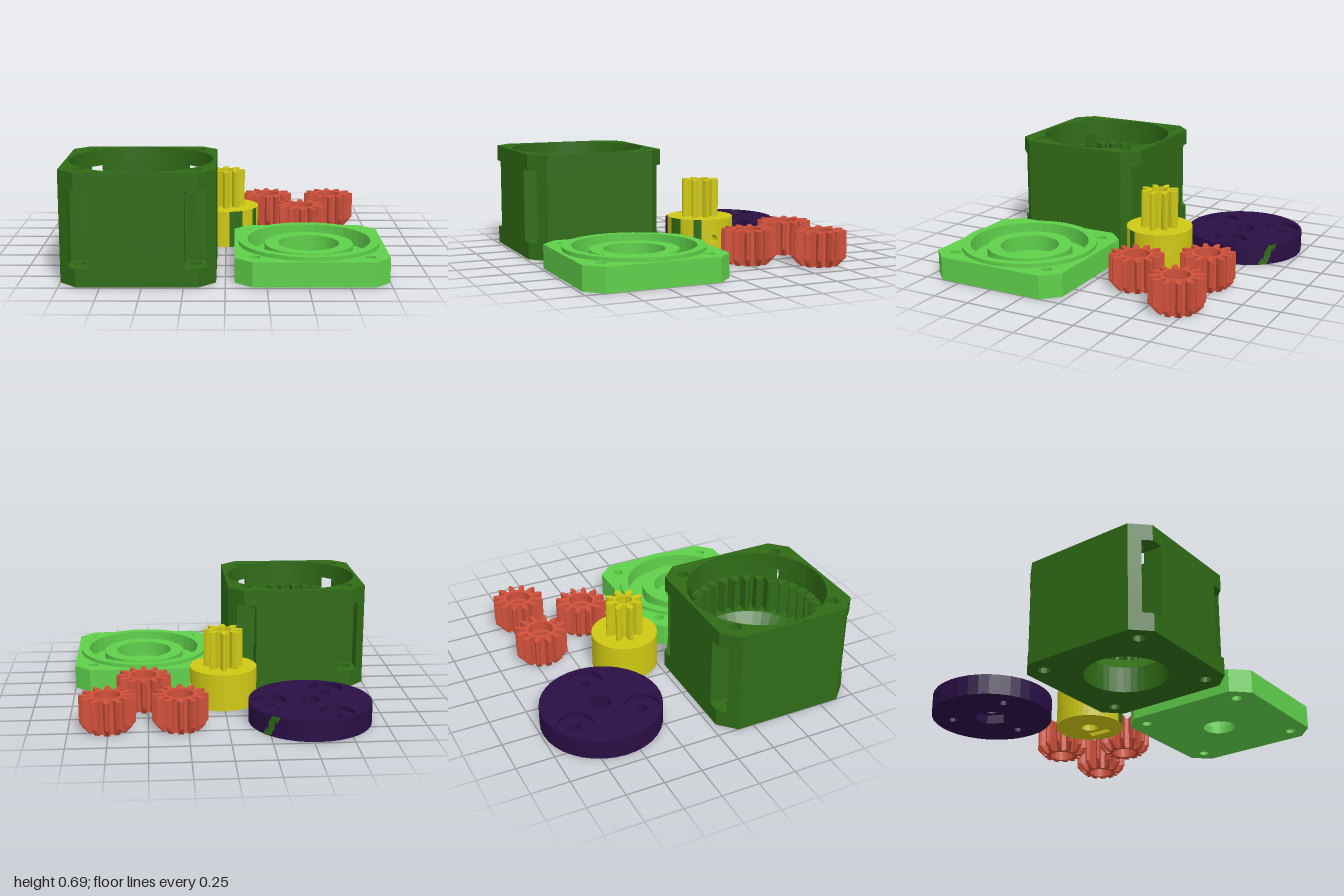
import * as THREE from 'three';

const DEG = Math.PI / 180;
const mat = (color) => new THREE.MeshStandardMaterial({ color, flatShading: true });
const darkGreen = mat(0x2f6b16), lightGreen = mat(0x5fd04a), red = mat(0xd0503a);
const yellow = mat(0xcfc814), purple = mat(0x2a0e45);

const polar = (r, a) => new THREE.Vector2(r * Math.cos(a), r * Math.sin(a));
const pts = (list) => list.map(([x, y]) => new THREE.Vector2(x, y));

function circle(r, n = 36, x = 0, y = 0) {
  return Array.from({ length: n }, (_, i) => polar(r, (i / n) * 2 * Math.PI).add(new THREE.Vector2(x, y)));
}

// Gear outline; tooth is a list of [radius, fraction of the pitch from the tooth centre]
function gear(teeth, tooth) {
  const out = [];
  for (let i = 0; i < teeth; i++)
    for (const [r, f] of tooth) out.push(polar(r, ((i + f) / teeth) * 2 * Math.PI));
  return out;
}
const petal = (half) => [...half.map(([r, f]) => [r, -f]), ...[...half].reverse()];

// One horizontal layer: an outline with holes, from height y0 to y1
function layer(group, name, material, y0, y1, outline, holes = []) {
  const shape = new THREE.Shape(outline);
  holes.forEach((h) => shape.holes.push(new THREE.Path(h)));
  const geo = new THREE.ExtrudeGeometry(shape, { depth: y1 - y0, bevelEnabled: false });
  geo.rotateX(-Math.PI / 2).translate(0, y0, 0);
  const mesh = new THREE.Mesh(geo, material);
  mesh.name = name;
  group.add(mesh);
  return mesh;
}

function part(name, x, z) {
  const g = new THREE.Group();
  g.name = name;
  g.position.set(x, 0, z);
  return g;
}

// Chamfered square plate with four screw holes
const H = 0.472, C = 0.367;
const plate = pts([[H, -C], [H, C], [C, H], [-C, H], [-H, C], [-H, -C], [-C, -H], [C, -H]]);
const screwHoles = (r) => [[1, 1], [-1, 1], [-1, -1], [1, -1]].map(([x, y]) => circle(r, 16, 0.349 * x, 0.349 * y));

// Housing with internal ring gear and four open corner pockets
function housing() {
  const g = part('housing', -0.528, 0.508);
  const P = 0.285, Q = 0.415, E = H + C - Q, R = 0.45;
  const pocketed = [];
  for (let i = 0; i < 4; i++) {
    const turn = new THREE.Vector2(), a = (i * Math.PI) / 2;
    const corner = i % 2 === 0
      ? [[H, C], [Q, E], [Q, P], [P, P], [P, H]]
      : [[H, P], [P, P], [P, Q], [E, Q], [C, H]];
    pts(corner).forEach((p) => pocketed.push(p.rotateAround(turn, a)));
  }
  layer(g, 'housingFloor', darkGreen, 0, 0.115, plate, [circle(0.257), ...screwHoles(0.038)]);
  layer(g, 'housingLowerWall', darkGreen, 0.115, 0.17, pocketed, [circle(0.257)]);
  layer(g, 'housingConeWall', darkGreen, 0.17, 0.28, pocketed, [circle(0.372)]);
  const cone = new THREE.Mesh(
    new THREE.LatheGeometry(pts([[0.257, 0.17], [0.372, 0.28]]), 36),
    Object.assign(darkGreen.clone(), { side: THREE.DoubleSide }));
  cone.name = 'conicalSeat';
  g.add(cone);

  // Between the pockets the wall splits into four bars lined by the given inner curve
  const bars = (name, y0, y1, curve) => {
    for (const s of [1, -1]) {
      const e = Math.sqrt(R * R - P * P);
      const side = curve.filter((p) => p.x > 0 && Math.abs(p.y) < P - 0.005).sort((a, b) => b.angleTo - a.angleTo || Math.atan2(b.y, b.x) - Math.atan2(a.y, a.x));
      const sideShape = [...pts([[Q, -P], [Q, -E], [H, -C], [H, C], [Q, E], [Q, P], [e, P]]), ...side, ...pts([[e, -P]])];
      layer(g, name + 'Side', darkGreen, y0, y1, sideShape).rotation.y = s > 0 ? 0 : Math.PI;
      const end = curve.filter((p) => p.y > 0 && Math.abs(p.x) < P - 0.005).sort((a, b) => Math.atan2(b.y, b.x) - Math.atan2(a.y, a.x));
      const endShape = [...pts([[P, e], [P, H], [-P, H], [-P, e]]), ...end];
      layer(g, name + 'End', darkGreen, y0, y1, endShape).rotation.y = s > 0 ? 0 : Math.PI;
    }
  };
  bars('ringGear', 0.28, 0.52, gear(32, [[R, -0.42], [0.382, -0.1], [0.382, 0.1], [R, 0.42]]));
  bars('upperWall', 0.52, 0.59, circle(R, 60));
  layer(g, 'housingRim', darkGreen, 0.59, 0.695, plate, [circle(R, 60), ...screwHoles(0.038)]);
  return g;
}

// Lid with locating lip, annular groove and bearing seat
function lid() {
  const g = part('lid', 0.528, 0.508), holes = screwHoles(0.034);
  layer(g, 'lidBase', lightGreen, 0, 0.05, plate, [circle(0.106), ...holes]);
  layer(g, 'lidSeat', lightGreen, 0.05, 0.075, plate, [circle(0.193), ...holes]);
  layer(g, 'lidFlange', lightGreen, 0.075, 0.155, plate, [circle(0.39), ...holes]);
  layer(g, 'bearingRing', lightGreen, 0.075, 0.155, circle(0.28), [circle(0.193)]);
  layer(g, 'lidLip', lightGreen, 0.155, 0.18, circle(0.447), [circle(0.39)]);
  return g;
}

// Planet gear with tapered foot and counterbored ends
function planet(x, z) {
  const g = part('planetGear', x, z);
  const outline = gear(12, petal([[0.108, 0.24], [0.14, 0.27], [0.163, 0.15], [0.177, 0.05]]));
  const wide = circle(0.083, 20), bore = circle(0.055, 10);
  const foot = layer(g, 'planetFoot', red, 0, 0.05, outline, [wide]);
  const p = foot.geometry.attributes.position;
  for (let i = 0; i < p.count; i++) {
    const r = Math.hypot(p.getX(i), p.getZ(i));
    if (p.getY(i) < 0.01 && r > 0.13) p.setXYZ(i, p.getX(i) * 0.13 / r, p.getY(i), p.getZ(i) * 0.13 / r);
  }
  foot.geometry.computeVertexNormals();
  layer(g, 'planetLower', red, 0.05, 0.07, outline, [wide]);
  layer(g, 'planetMiddle', red, 0.07, 0.165, outline, [bore]);
  layer(g, 'planetUpper', red, 0.165, 0.225, outline, [wide]);
  return g;
}

// Painted stripe on a round wall, optionally slanted
function stripe(name, r, h, start, length, slant = 0) {
  const geo = new THREE.CylinderGeometry(r, r, h, 4, 1, true, start * DEG, length * DEG);
  const p = geo.attributes.position, v = new THREE.Vector3(), up = new THREE.Vector3(0, 1, 0);
  for (let i = 0; i < p.count; i++) {
    v.fromBufferAttribute(p, i);
    if (v.y > 0) v.applyAxisAngle(up, slant * DEG);
    p.setXYZ(i, v.x, v.y, v.z);
  }
  geo.translate(0, h / 2, 0);
  const mesh = new THREE.Mesh(geo, darkGreen);
  mesh.name = name;
  return mesh;
}

// Sun gear on a hub with nut slot and side screw hole
function sun() {
  const g = part('sunGear', 0, -0.19), R = 0.222;
  const rim = circle(R, 40), bore = circle(0.055, 10);
  const slot = pts([[0.085, -0.075], [0.135, -0.075], [0.135, 0.075], [0.085, 0.075]]);
  const notched = [
    ...rim.filter((p) => p.x < 0 || Math.abs(p.y) > 0.046),
    ...pts([[0.2174, -0.045], [0.135, -0.045], [0.135, -0.075], [0.085, -0.075],
      [0.085, 0.075], [0.135, 0.075], [0.135, 0.045], [0.2174, 0.045]]),
  ];
  layer(g, 'hubBase', yellow, 0, 0.08, rim, [bore, slot]);
  layer(g, 'hubMiddle', yellow, 0.08, 0.15, notched, [bore]);
  layer(g, 'hubTop', yellow, 0.15, 0.245, rim, [bore]);
  const block = new THREE.Shape(pts([[-0.045, -0.035], [0.045, -0.035], [0.045, 0.035], [-0.045, 0.035]]));
  block.holes.push(new THREE.Path(circle(0.028, 16)));
  const geo = new THREE.ExtrudeGeometry(block, { depth: 0.0845, bevelEnabled: false });
  geo.rotateY(Math.PI / 2).translate(0.135, 0.115, 0);
  const screw = new THREE.Mesh(geo, yellow);
  screw.name = 'hubScrewHole';
  g.add(screw);
  const teeth = gear(8, petal([[0.07, 0.24], [0.1, 0.28], [0.119, 0.15], [0.129, 0.05]]));
  layer(g, 'sunTeeth', yellow, 0.245, 0.495, teeth, [bore]);
  g.add(stripe('hubStripe', R + 0.0015, 0.245, 6.5, 23.5), stripe('hubStripe', R + 0.0015, 0.245, 54, 14));
  return g;
}

// Planet carrier disc with three pin seats and a hexagonal nut recess underneath
function carrier() {
  const g = part('carrier', -0.528, -0.595), rim = circle(0.393, 36);
  const ring = (r, n) => [0, 120, 240].map((a) => {
    const c = polar(0.262, a * DEG);
    return circle(r, n, c.x, c.y);
  });
  const pins = ring(0.034, 14);
  layer(g, 'carrierBase', purple, 0, 0.06, rim, [circle(0.112, 6), ...pins]);
  layer(g, 'carrierMiddle', purple, 0.06, 0.105, rim, [circle(0.068, 24), ...pins]);
  layer(g, 'carrierTop', purple, 0.105, 0.135, rim, [circle(0.068, 24), ...ring(0.112, 28)]);
  g.add(stripe('carrierStripe', 0.3945, 0.135, 125, 9, 11));
  return g;
}

export function createModel() {
  const model = new THREE.Group();
  model.name = 'planetaryGearbox';
  model.add(housing(), lid(), sun(), carrier());
  for (const [x, z] of [[0.3, -0.68], [0.753, -0.68], [0.527, -0.29]]) model.add(planet(x, z));
  // Centre the layout front to back
  model.children.forEach((c) => { c.position.z += 0.002; });
  return model;
}
